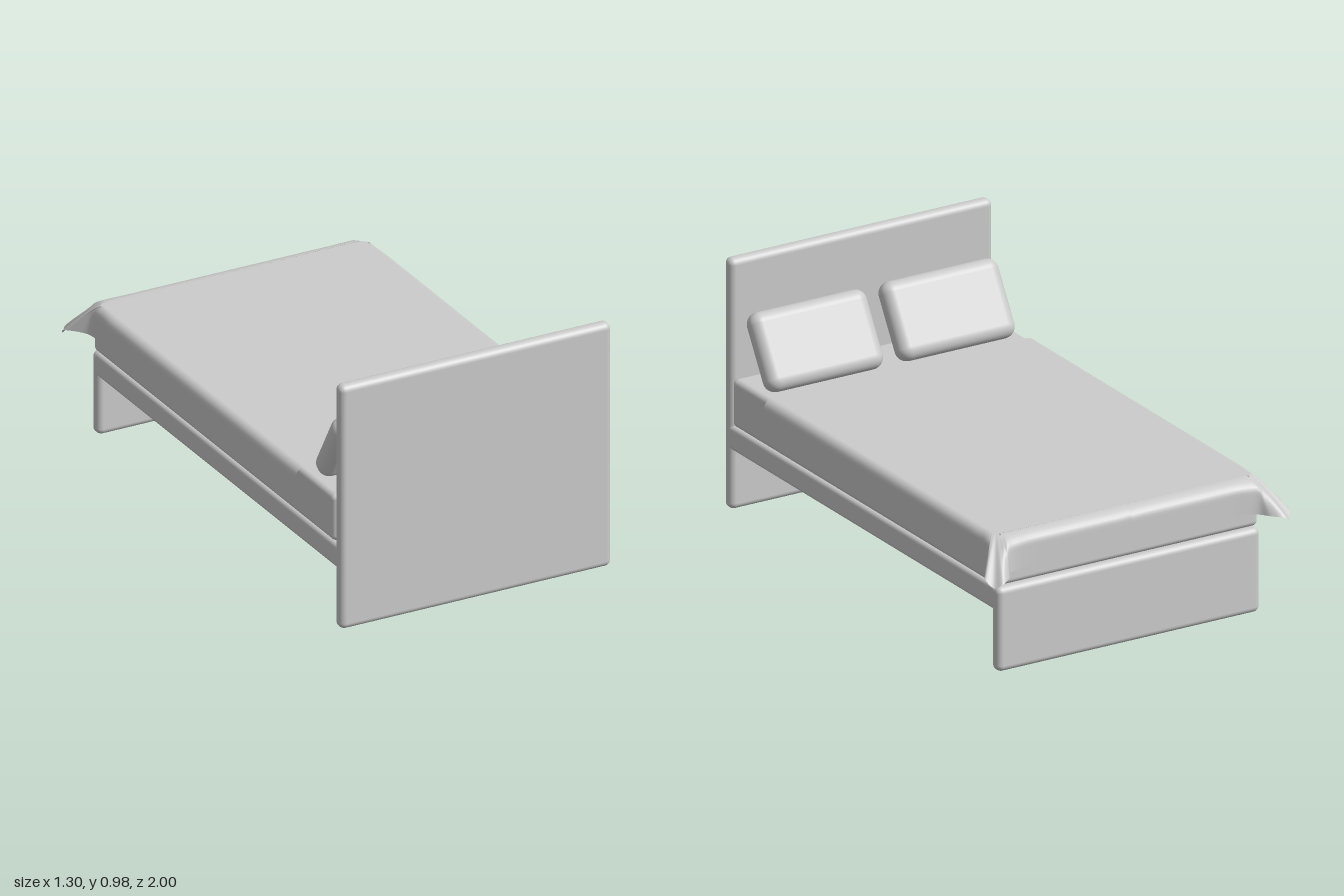
import * as THREE from 'three';
import { RoundedBoxGeometry } from 'three/addons/geometries/RoundedBoxGeometry.js';

const V = (x, y, z) => new THREE.Vector3(x, y, z);
const grey = new THREE.MeshStandardMaterial({ color: 0xcccccc });
const clothGrey = new THREE.MeshStandardMaterial({ color: 0xcccccc, side: THREE.DoubleSide });

// Rounded box given by its low and high corners
function block(name, lo, hi, radius) {
  const size = hi.clone().sub(lo);
  const mesh = new THREE.Mesh(new RoundedBoxGeometry(size.x, size.y, size.z, 5, radius), grey);
  mesh.position.copy(lo).add(hi).multiplyScalar(0.5);
  mesh.name = name;
  return mesh;
}

// Blanket: half outline from the head end round the corner to the middle of the foot.
// Each row: hem x, y, z | top edge x, z | flare (0 = hanging wall, 1 = loose corner)
function blanketGeometry() {
  const rows = [
    [0.58, 0.405, 0.69, 0.545, 0.69, 0],
    [0.58, 0.405, -0.1, 0.545, -0.1, 0],
    [0.58, 0.405, -0.72, 0.545, -0.72, 0],
    [0.578, 0.405, -0.82, 0.545, -0.79, 0.1],
    [0.588, 0.405, -0.875, 0.545, -0.82, 0.6],
    [0.648, 0.408, -0.935, 0.545, -0.835, 1],
    [0.63, 0.378, -0.975, 0.54, -0.84, 1],
    [0.605, 0.395, -0.995, 0.535, -0.845, 1],
    [0.56, 0.4, -0.965, 0.525, -0.845, 0.7],
    [0.53, 0.4, -0.925, 0.505, -0.845, 0.2],
    [0.47, 0.405, -0.908, 0.47, -0.845, 0],
    [0.3, 0.405, -0.905, 0.3, -0.845, 0],
    [0, 0.405, -0.905, 0, -0.845, 0],
  ];
  const hemCurve = new THREE.CatmullRomCurve3(rows.map(r => V(r[0], r[1], r[2])));
  const topCurve = new THREE.CatmullRomCurve3(rows.map(r => V(r[3], r[5], r[4])));
  const N = (rows.length - 1) * 6, K = 14, topY = 0.528;
  const pos = [], index = [];

  for (let i = 0; i <= N; i++) {
    const hem = hemCurve.getPoint(i / N), top = topCurve.getPoint(i / N);
    const flare = THREE.MathUtils.clamp(top.y, 0, 1);
    const side = [];
    for (let k = 0; k <= K; k++) {
      const t = k / K, a = Math.min(1, 2 * t) * Math.PI / 2;
      const wallDrop = 0.32 * (1 - Math.cos(a)) + 0.68 * Math.max(0, 2 * t - 1);
      const out = THREE.MathUtils.lerp(Math.sin(a), t, flare);
      const drop = THREE.MathUtils.lerp(wallDrop, Math.pow(t, 1.25), flare);
      side.push([
        THREE.MathUtils.lerp(top.x, hem.x, out),
        THREE.MathUtils.lerp(topY, hem.y, drop),
        THREE.MathUtils.lerp(top.z, hem.z, out),
      ]);
    }
    // Left hem up to the top, then across and down to the right hem
    for (let k = K; k >= 0; k--) pos.push(-side[k][0], side[k][1], side[k][2]);
    for (let k = 0; k <= K; k++) pos.push(...side[k]);
  }

  const W = 2 * K + 2;
  for (let i = 0; i < N; i++) {
    for (let j = 0; j < W - 1; j++) {
      const a = i * W + j, b = a + 1, c = a + W, d = c + 1;
      index.push(a, b, c, b, d, c);
    }
  }
  const geo = new THREE.BufferGeometry();
  geo.setAttribute('position', new THREE.Float32BufferAttribute(pos, 3));
  geo.setIndex(index);
  geo.computeVertexNormals();
  return geo;
}

export function createModel() {
  const bed = new THREE.Group();
  bed.name = 'bed';
  const w = 0.56;

  // Frame
  bed.add(
    block('headboard', V(-w, 0, 0.945), V(w, 0.98, 1), 0.024),
    block('footboard', V(-w, 0, -0.89), V(w, 0.33, -0.835), 0.024),
    block('platform', V(-w, 0.235, -0.865), V(w, 0.33, 0.975), 0.018),
  );

  // Bedding
  bed.add(block('mattress', V(-w, 0.332, -0.876), V(w, 0.52, 0.943), 0.022));
  const blanket = new THREE.Mesh(blanketGeometry(), clothGrey);
  blanket.name = 'blanket';
  bed.add(blanket);

  // Pillows leaning back towards the headboard
  for (const s of [-1, 1]) {
    const pillow = new THREE.Mesh(new RoundedBoxGeometry(0.495, 0.3, 0.096, 8, 0.045), grey);
    pillow.position.set(s * 0.281, 0.65, 0.82);
    pillow.rotation.x = 0.54;
    pillow.name = s < 0 ? 'rightPillow' : 'leftPillow';
    bed.add(pillow);
  }

  bed.position.x = 0.003;
  const model = new THREE.Group();
  model.add(bed);
  return model;
}
